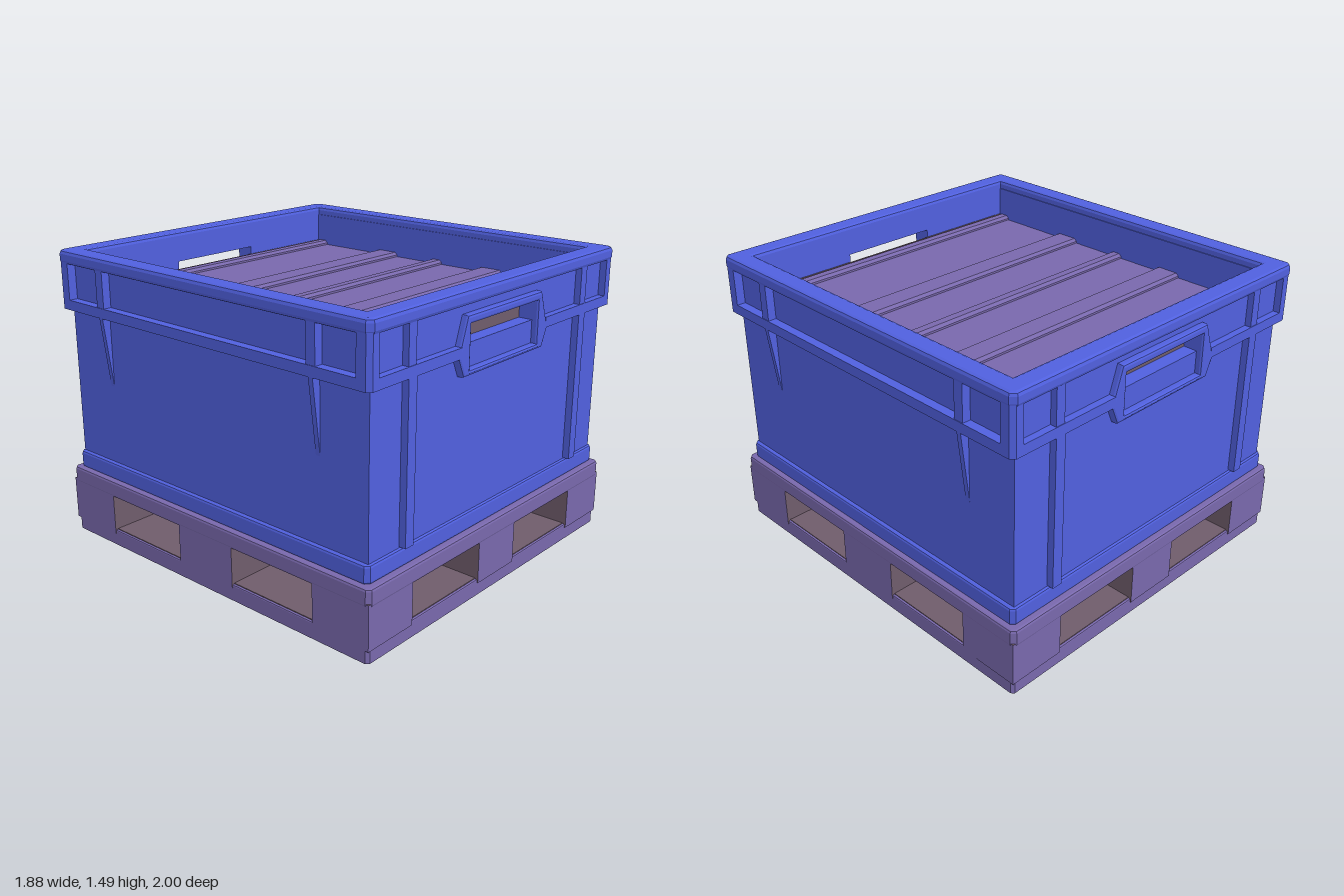
import * as THREE from 'three';

const blue = new THREE.MeshStandardMaterial({ name: 'crateBlue', color: 0x5060de });
const mauve = new THREE.MeshStandardMaterial({ name: 'palletMauve', color: 0x7868ac });
const brown = new THREE.MeshStandardMaterial({ name: 'innerBrown', color: 0x6f5c6b });

function add(parent, name, geometry, material) {
  const mesh = new THREE.Mesh(geometry, material);
  mesh.name = name;
  parent.add(mesh);
  return mesh;
}

// Box given by its minimum and maximum on each axis
function box(parent, name, material, x0, x1, y0, y1, z0, z1) {
  const g = new THREE.BoxGeometry(x1 - x0, y1 - y0, z1 - z0);
  g.translate((x0 + x1) / 2, (y0 + y1) / 2, (z0 + z1) / 2);
  return add(parent, name, g, material);
}

const points = (list) => list.map(([x, y]) => new THREE.Vector2(x, y));
const rect = (x0, x1, y0, y1) => points([[x0, y0], [x1, y0], [x1, y1], [x0, y1]]);

// Rectangle with clipped corners
const clipped = (x, y, c) => points([
  [-x + c, -y], [x - c, -y], [x, -y + c], [x, y - c],
  [x - c, y], [-x + c, y], [-x, y - c], [-x, -y + c],
]);

// Bevelled plate between two depths, with holes
function plate(outline, holes, z0, z1, bevel) {
  const shape = new THREE.Shape(outline);
  holes.forEach((h) => shape.holes.push(new THREE.Path(h)));
  const g = new THREE.ExtrudeGeometry(shape, {
    depth: z1 - z0 - 2 * bevel, bevelEnabled: bevel > 0, bevelSegments: 2,
    bevelSize: bevel, bevelThickness: bevel, bevelOffset: -bevel,
  });
  return g.translate(0, 0, z0 + bevel);
}

// The same plate laid flat, between two heights
const layer = (outline, holes, y0, y1, bevel) => plate(outline, holes, y0, y1, bevel).rotateX(-Math.PI / 2);

// Four openings of the pallet base, shrunk by an inset
function baseHoles(inset) {
  const holes = [];
  for (const [xa, xb] of [[-0.64, -0.145], [0.145, 0.64]]) {
    for (const [za, zb] of [[-0.68, -0.18], [0.18, 0.68]]) {
      holes.push(rect(xa + inset, xb - inset, za + inset, zb - inset));
    }
  }
  return holes;
}

function buildPallet() {
  const pallet = new THREE.Group();
  pallet.name = 'pallet';
  // Lower frame, lined with brown inside its openings and on top
  add(pallet, 'palletBase', layer(clipped(0.932, 0.992, 0.015), baseHoles(0), 0.003, 0.088, 0.006), mauve);
  add(pallet, 'palletBaseLining', layer(rect(-0.92, 0.92, -0.98, 0.98), baseHoles(0.004), 0.012, 0.092, 0), brown);
  add(pallet, 'palletDeck', layer(clipped(0.937, 1, 0.02), [], 0.272, 0.357, 0.012), mauve);
  box(pallet, 'palletDeckLining', brown, -0.92, 0.92, 0.268, 0.275, -0.98, 0.98);
  // Nine blocks: mauve on faces looking outward, brown within the openings
  const xs = [[-0.935, -0.64], [-0.145, 0.145], [0.64, 0.935]];
  const zs = [[-0.997, -0.68], [-0.18, 0.18], [0.68, 0.997]];
  xs.forEach(([x0, x1], i) => zs.forEach(([z0, z1], j) => {
    const faces = [i === 2, i === 0, false, false, j === 2, j === 0].map((out) => (out ? mauve : brown));
    box(pallet, 'palletBlock', faces, x0, x1, 0.07, 0.29, z0, z1);
  }));
  return pallet;
}

function buildLoad() {
  const load = new THREE.Group();
  load.name = 'load';
  box(load, 'loadBody', mauve, -0.82, 0.82, 0.42, 1.28, -0.88, 0.88);
  // Shallow rounded ridges across the load
  const ridges = [[-0.88, -0.81], [-0.42, -0.28], [-0.04, 0.03], [0.28, 0.42], [0.81, 0.88]];
  for (const [a, b] of ridges) {
    const shape = new THREE.Shape(points([[a, 1.27], [b, 1.27], [b, 1.29], [b - 0.015, 1.303], [a + 0.015, 1.303], [a, 1.29]]));
    const g = new THREE.ExtrudeGeometry(shape, { depth: 1.64, bevelEnabled: false });
    g.translate(0, 0, -0.82).rotateY(-Math.PI / 2);
    add(load, 'loadRidge', g, mauve);
  }
  // Brown end faces seen through the grips
  for (const z of [-0.882, 0.882]) box(load, 'loadEnd', brown, -0.82, 0.82, 1.2, 1.3, z - 0.002, z + 0.002);
  return load;
}

// End wall with its grip, ribs and rim dividers, facing +z
function buildEnd() {
  const end = new THREE.Group();
  end.name = 'endWall';
  const grip = rect(-0.265, 0.265, 1.245, 1.34);
  add(end, 'endPanel', plate(rect(-0.89, 0.89, 0.4, 1.45), [grip], 0.885, 0.955, 0), blue);
  const outer = points([[-0.31, 1.11], [0.31, 1.11], [0.35, 1.2], [0.29, 1.38], [-0.29, 1.38], [-0.35, 1.2]]);
  add(end, 'gripFrame', plate(outer, [rect(-0.265, 0.265, 1.135, 1.34)], 0.93, 0.99, 0.012), blue);
  for (const s of [-1, 1]) {
    const span = (name, a, b, y0, y1, z1) =>
      box(end, name, blue, Math.min(s * a, s * b), Math.max(s * a, s * b), y0, y1, 0.93, z1);
    span('endRib', 0.635, 0.69, 0.45, 1.2, 0.99);
    span('rimDivider', 0.64, 0.69, 1.2, 1.45, 0.987);
    span('lowerRim', 0.33, 0.89, 1.2, 1.25, 0.99);
  }
  return end;
}

// Side wall with gussets and rim dividers, facing +x
function buildSide() {
  const side = new THREE.Group();
  side.name = 'sideWall';
  box(side, 'sidePanel', blue, 0.825, 0.89, 0.4, 1.45, -0.954, 0.954);
  box(side, 'lowerRim', blue, 0.87, 0.935, 1.2, 1.25, -0.94, 0.94);
  for (const z of [-0.68, 0.68]) {
    box(side, 'rimDivider', blue, 0.87, 0.932, 1.2, 1.45, z - 0.025, z + 0.025);
    // Wedge tapering down to the wall
    const g = new THREE.ExtrudeGeometry(
      new THREE.Shape(points([[0.88, 0.85], [0.89, 0.85], [0.935, 1.21], [0.88, 1.21]])),
      { depth: 0.024, bevelEnabled: false });
    add(side, 'gusset', g.translate(0, 0, z - 0.012), blue);
  }
  return side;
}

function buildCrate() {
  const crate = new THREE.Group();
  crate.name = 'crate';
  add(crate, 'footBand', layer(clipped(0.912, 0.97, 0.02), [], 0.357, 0.445, 0.012), blue);
  add(crate, 'topRim', layer(clipped(0.938, 0.995, 0.025), [rect(-0.83, 0.83, -0.885, 0.885)], 1.425, 1.493, 0.018), blue);
  for (const turn of [0, Math.PI]) {
    const end = buildEnd();
    const side = buildSide();
    end.rotation.y = turn;
    side.rotation.y = turn;
    crate.add(end, side);
  }
  // Chamfered posts closing the rim corners
  const corner = [[0.875, 0.92], [0.935, 0.92], [0.935, 0.97], [0.915, 0.99], [0.875, 0.99]];
  for (const sx of [-1, 1]) {
    for (const sz of [-1, 1]) {
      const outline = points(corner.map(([x, z]) => [sx * x, sz * z]));
      add(crate, 'rimCorner', layer(outline, [], 1.2, 1.45, 0), blue);
    }
  }
  return crate;
}

export function createModel() {
  const model = new THREE.Group();
  model.name = 'crateOnPallet';
  model.add(buildPallet(), buildCrate(), buildLoad());
  return model;
}
